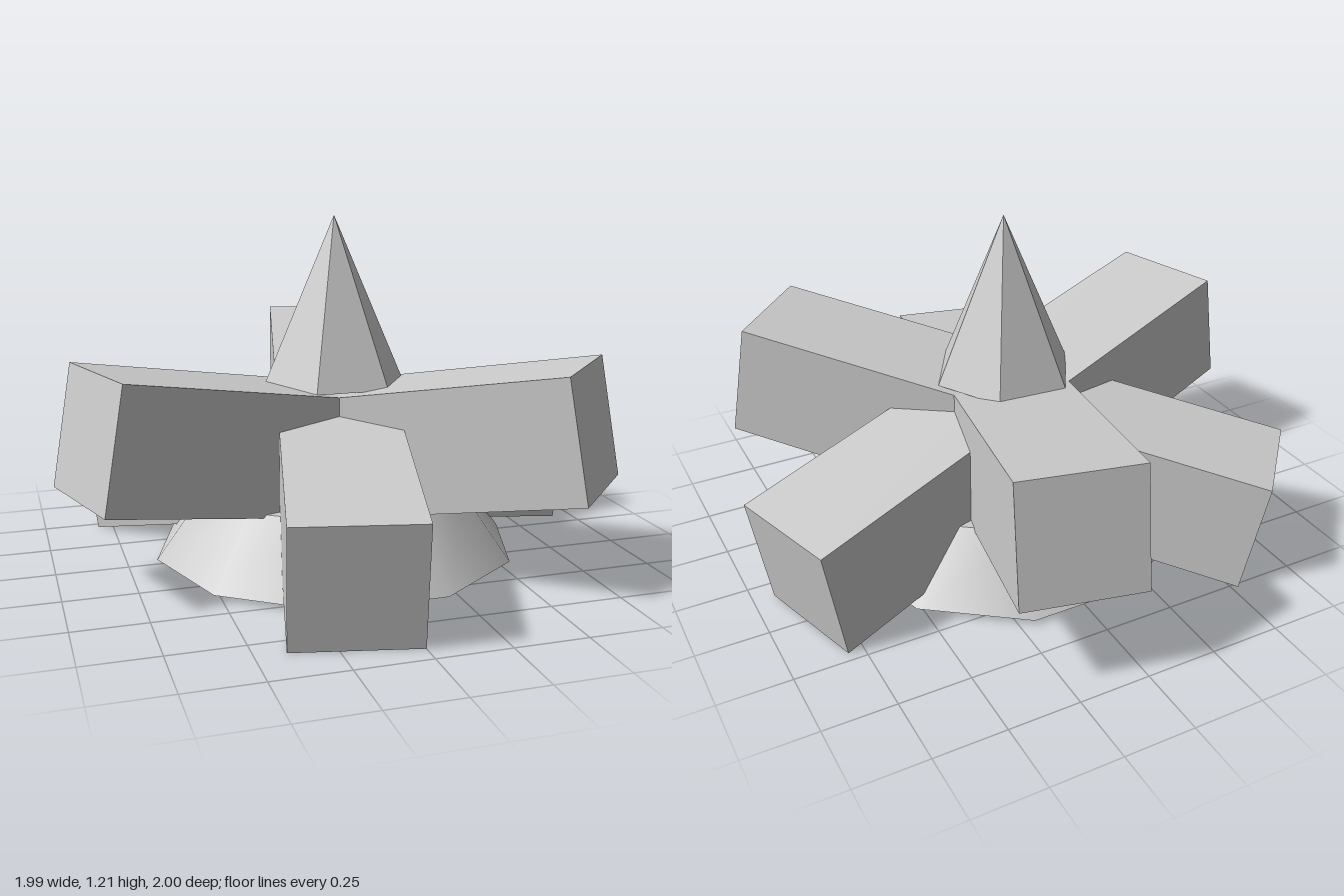
import * as THREE from 'three';

export function createModel() {
  const model = new THREE.Group();
  model.name = 'crossedBarsPile';
  const mat = new THREE.MeshStandardMaterial({ color: 0xcccccc });
  const flatMat = new THREE.MeshStandardMaterial({ color: 0xcccccc, flatShading: true });

  const add = (name, geometry, material, y) => {
    const mesh = new THREE.Mesh(geometry, material);
    mesh.name = name;
    mesh.position.y = y;
    model.add(mesh);
    return mesh;
  };

  // Ten-sided tapered base with a smooth flank, a corner pointing along x
  const base = add('base', new THREE.CylinderGeometry(0.476, 0.65, 0.235, 10), mat, 0.1375);
  base.rotation.y = Math.PI / 2;

  // Three square bars crossing at the centre, each tilted with one end raised
  const barGeometry = new THREE.BoxGeometry(1.916, 0.418, 0.413);
  for (let i = 0; i < 3; i++) {
    const bar = add(`bar${i + 1}`, barGeometry, flatMat, 0.38);
    bar.rotation.order = 'YXZ';
    bar.rotation.y = -THREE.MathUtils.degToRad(42.8 + i * 120);
    bar.rotation.z = THREE.MathUtils.degToRad(10.3);
  }

  // Six-sided spire resting on the crossing
  const spire = add('spire', new THREE.ConeGeometry(0.255, 0.585, 6), flatMat, 0.9175);
  spire.rotation.y = Math.PI / 6;

  return model;
}
